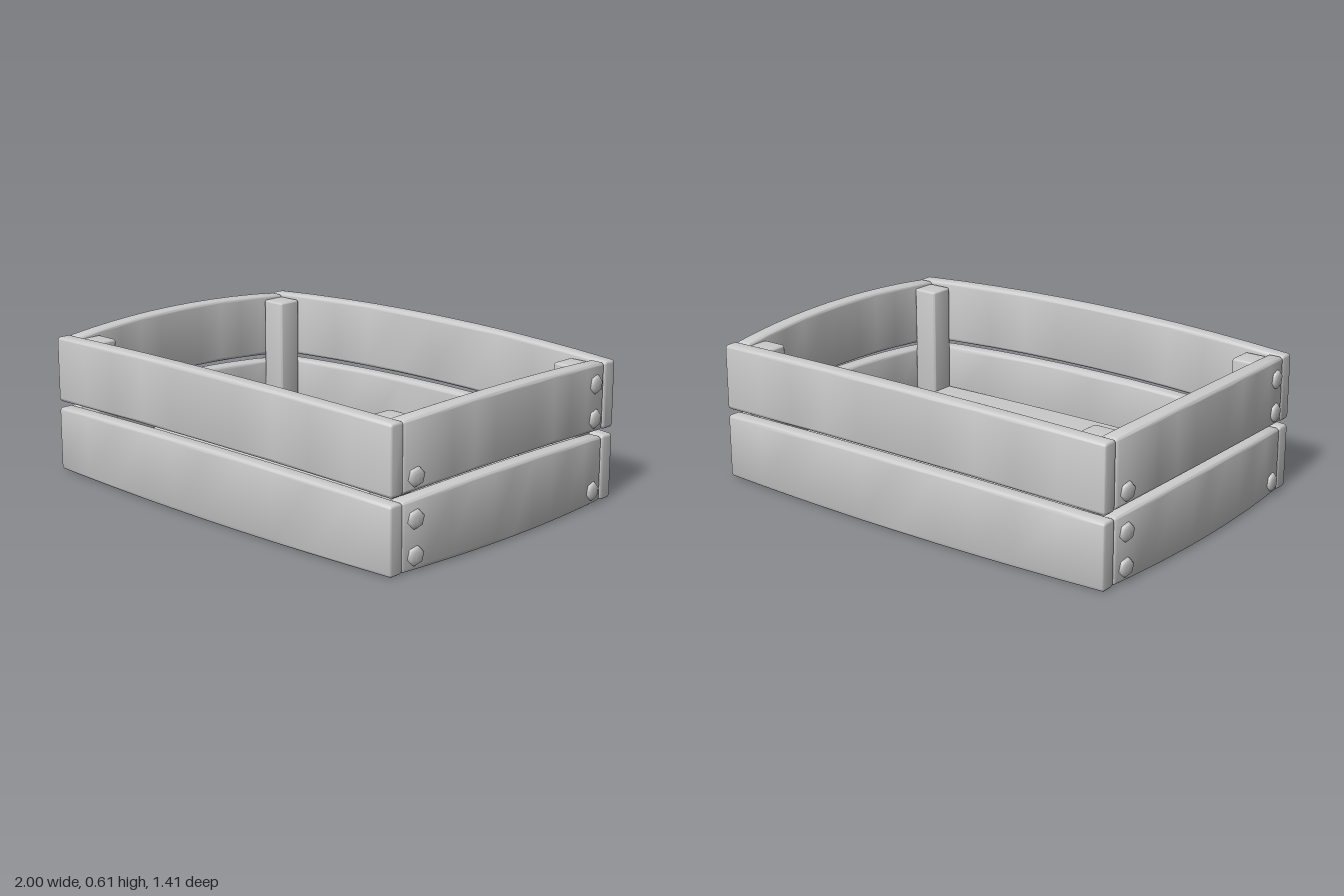
import * as THREE from 'three';
import { toCreasedNormals } from 'three/addons/utils/BufferGeometryUtils.js';

const material = new THREE.MeshStandardMaterial({ color: 0xcccccc });

// Board with rounded edges, length along x, centred, cut into steps so it can bend
function board(length, height, depth, r = 0.011, steps = 10) {
  const w = depth / 2 - r, h = height / 2 - r;
  const s = new THREE.Shape();
  s.absarc(w - r / 2, h - r / 2, r / 2, 0, Math.PI / 2);
  s.absarc(-w + r / 2, h - r / 2, r / 2, Math.PI / 2, Math.PI);
  s.absarc(-w + r / 2, -h + r / 2, r / 2, Math.PI, Math.PI * 1.5);
  s.absarc(w - r / 2, -h + r / 2, r / 2, Math.PI * 1.5, Math.PI * 2);
  const g = new THREE.ExtrudeGeometry(s, {
    depth: length - 2 * r, steps, curveSegments: 3,
    bevelEnabled: true, bevelSize: r, bevelThickness: r, bevelSegments: 3,
  });
  return g.translate(0, 0, r - length / 2).rotateY(Math.PI / 2);
}

// Move every vertex by a rule, then rebuild the normals
function deform(g, rule) {
  const p = g.attributes.position, v = new THREE.Vector3();
  for (let i = 0; i < p.count; i++) {
    rule(v.fromBufferAttribute(p, i));
    p.setXYZ(i, v.x, v.y, v.z);
  }
  return toCreasedNormals(g, 0.6);
}

function add(parent, name, geometry) {
  const m = new THREE.Mesh(geometry, material);
  m.name = name;
  parent.add(m);
  return m;
}

// Wall plank bulging outwards (+z) and arching upwards in the middle
function wallPlank(length, y, height, endZ, depth, flatBottom) {
  return deform(board(length, height, depth).translate(0, y + height / 2, endZ - depth / 2), v => {
    const arch = 1 - (2 * v.x / length) ** 2;
    v.z += 0.036 * arch;
    v.y += 0.025 * arch * (flatBottom ? (v.y - y) / height : 1);
  });
}

export function createModel() {
  const crate = new THREE.Group();
  crate.name = 'crate';

  // Four walls of two planks each
  const walls = [
    ['front', 1.93, 0.668, 0.07, 0], ['back', 1.93, 0.675, 0.07, Math.PI],
    ['left', 1.205, 0.965, 0.072, Math.PI / 2], ['right', 1.205, 0.965, 0.072, -Math.PI / 2],
  ];
  for (const [name, length, endZ, depth, angle] of walls) {
    add(crate, name + 'LowerPlank', wallPlank(length, 0.002, 0.277, endZ, depth, true)).rotation.y = angle;
    add(crate, name + 'UpperPlank', wallPlank(length, 0.305, 0.284, endZ, depth, false)).rotation.y = angle;
  }

  // Floor boards (centre z, width), the outer ones following the bulge of the walls
  const floor = [[-0.466, 0.298], [-0.165, 0.284], [0.14, 0.284], [0.443, 0.296]];
  floor.forEach(([z, width], i) => {
    const g = deform(board(1.84, 0.06, width, 0.006).translate(0, 0.07, z), v => {
      v.z += 0.038 * v.z * (1 - (v.x / 0.92) ** 2);
      v.x *= 1 - 0.02 * (v.z / 0.6) ** 2;
    });
    add(crate, 'floorBoard' + (i + 1), g);
  });

  // Corner posts
  const postGeometry = toCreasedNormals(board(0.555, 0.115, 0.115, 0.009, 1).rotateZ(Math.PI / 2), 0.6);
  for (const x of [-1, 1]) for (const z of [-1, 1]) {
    add(crate, 'cornerPost', postGeometry).position.set(x * 0.847, 0.3, z * 0.547 - 0.004);
  }

  // Six-sided domed bolts; the two ends match under a half turn
  const profile = [[0.039, -0.02], [0.039, 0.012], [0.033, 0.019], [0.018, 0.022], [0, 0.023]]
    .map(([x, y]) => new THREE.Vector2(x, y));
  const boltGeometry = new THREE.LatheGeometry(profile, 6).rotateZ(-Math.PI / 2);
  const spots = [
    [0.062, 0.54], [0.205, 0.54], [0.368, 0.54],
    [0.062, -0.535], [0.368, -0.535], [0.512, -0.535],
  ];
  for (const side of ['left', 'right']) {
    const bolts = new THREE.Group();
    bolts.name = side + 'Bolts';
    if (side === 'right') bolts.rotation.y = Math.PI;
    for (const [y, z] of spots) {
      const b = add(bolts, 'bolt', boltGeometry);
      b.position.set(0.968, y, z);
      b.rotation.set(0.25, -Math.sign(z) * 0.1, 0);
    }
    crate.add(bolts);
  }
  return crate;
}
